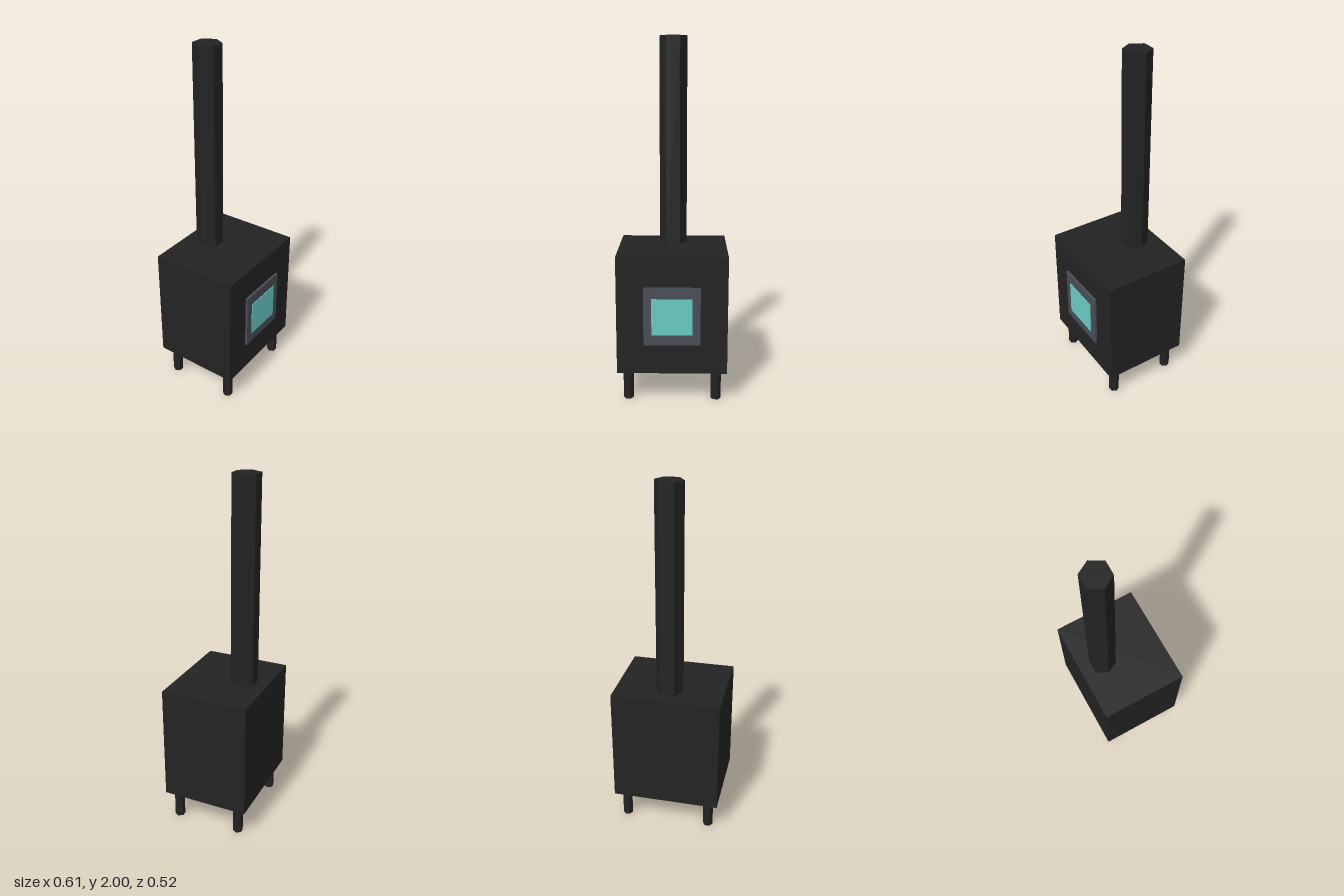
import * as THREE from 'three';

export function createModel() {
  const stove = new THREE.Group();
  stove.name = 'stove';

  const material = (name, color) => {
    const m = new THREE.MeshStandardMaterial({ color });
    m.name = name;
    return m;
  };
  const iron = material('blackIron', 0x232323);
  const steel = material('greySteel', 0x4b4e56);
  const glass = material('tealGlass', 0x6acbc6);

  const add = (name, geometry, mat, x, y, z) => {
    const mesh = new THREE.Mesh(geometry, mat);
    mesh.name = name;
    mesh.position.set(x, y, z);
    stove.add(mesh);
  };
  // Box spanning y0..y1 and z0..z1, centred on x
  const addBox = (name, mat, width, y0, y1, z0, z1) =>
    add(name, new THREE.BoxGeometry(width, y1 - y0, z1 - z0), mat, 0, (y0 + y1) / 2, (z0 + z1) / 2);
  // Faceted hexagonal post with two corners on the x axis
  const addPost = (name, radius, y0, y1, x, z) => {
    const geometry = new THREE.CylinderGeometry(radius, radius, y1 - y0, 6)
      .rotateY(Math.PI / 6)
      .toNonIndexed();
    geometry.computeVertexNormals();
    add(name, geometry, iron, x, (y0 + y1) / 2, z);
  };

  // Firebox and chimney
  addBox('firebox', iron, 0.61, 0.17, 0.835, -0.26, 0.24);
  addPost('chimneyPipe', 0.0775, 0.835, 2, 0, -0.121);

  // Door frame with its window
  addBox('doorFrame', steel, 0.312, 0.34, 0.667, 0.24, 0.253);
  addBox('doorWindow', glass, 0.224, 0.4, 0.605, 0.252, 0.257);

  // Four legs
  for (const x of [-0.245, 0.245]) {
    for (const z of [-0.196, 0.181]) {
      addPost(z > 0 ? 'frontLeg' : 'backLeg', 0.029, 0, 0.17, x, z);
    }
  }

  return stove;
}
